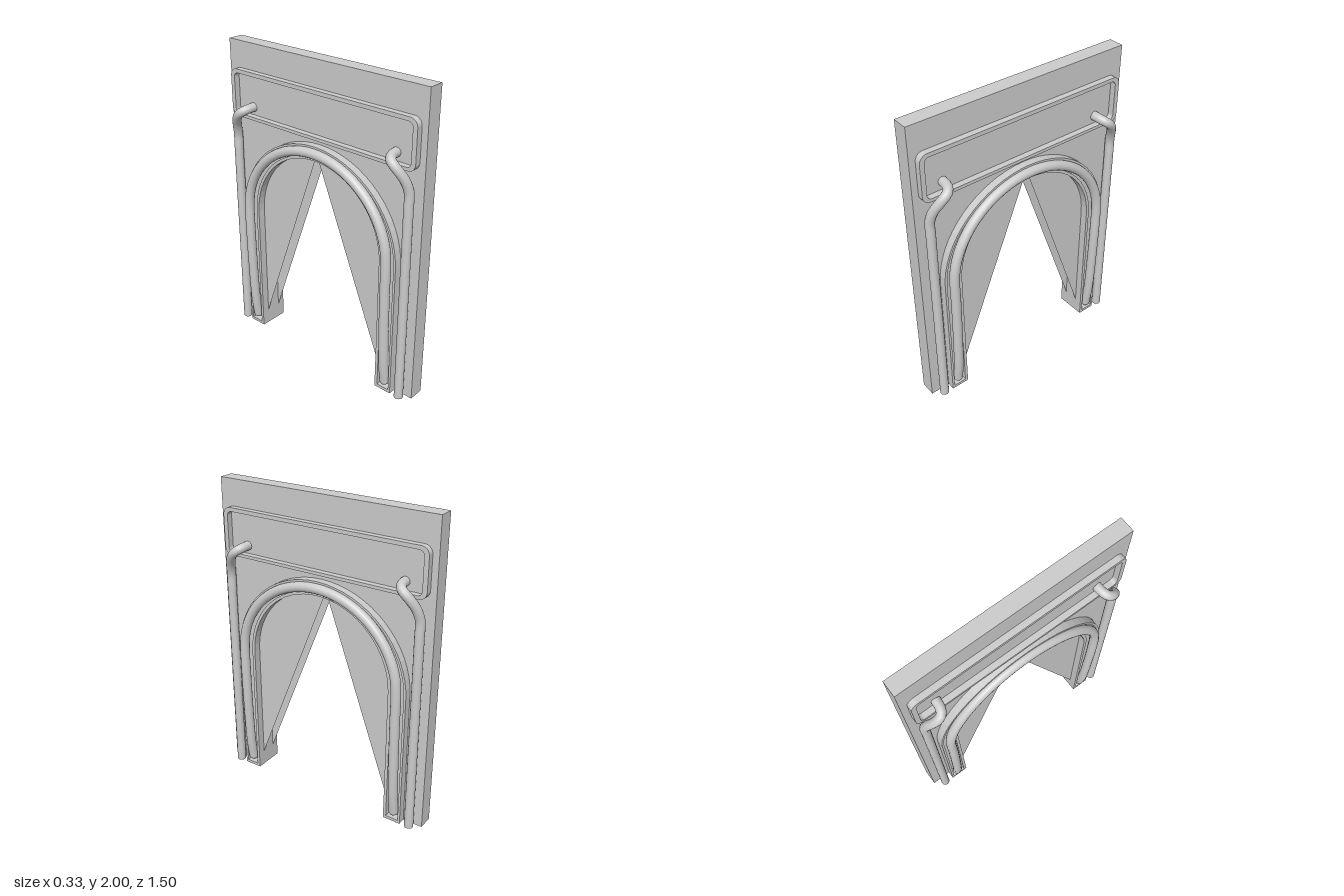
import * as THREE from 'three';

const material = new THREE.MeshStandardMaterial({ color: 0xcccccc, side: THREE.DoubleSide });

function add(parent, name, geometry) {
  const mesh = new THREE.Mesh(geometry, material);
  mesh.name = name;
  parent.add(mesh);
  return mesh;
}

// Profiles are drawn as (z, y); this lays them across x.
function slab(shape, depth, centreX) {
  const g = new THREE.ExtrudeGeometry(shape, { depth, bevelEnabled: false, curveSegments: 24 });
  return g.translate(0, 0, -depth / 2).rotateY(-Math.PI / 2).translate(centreX, 0, 0);
}

// Points up one side of an arch, over the top and down the other.
function archPoints(r, rise, bottom, spring = 0.9, n = 32) {
  const pts = [new THREE.Vector2(r, bottom)];
  for (let i = 0; i <= n; i++) {
    const a = (i / n) * Math.PI;
    pts.push(new THREE.Vector2(r * Math.cos(a), spring + rise * Math.sin(a)));
  }
  pts.push(new THREE.Vector2(-r, bottom));
  return pts;
}

// Band between two arches.
function archBand(outer, inner) {
  return [...outer, ...inner.slice().reverse()];
}

function roundedRect(w, y0, y1, r, target) {
  target.moveTo(-w + r, y0);
  target.lineTo(w - r, y0).absarc(w - r, y0 + r, r, -Math.PI / 2, 0);
  target.lineTo(w, y1 - r).absarc(w - r, y1 - r, r, 0, Math.PI / 2);
  target.lineTo(-w + r, y1).absarc(-w + r, y1 - r, r, Math.PI / 2, Math.PI);
  target.lineTo(-w, y0 + r).absarc(-w + r, y0 + r, r, Math.PI, Math.PI * 1.5);
  return target;
}

// Round bar along a path, closed by domes.
function bar(parent, name, points, radius, segments) {
  const group = new THREE.Group();
  group.name = name;
  const curve = new THREE.CatmullRomCurve3(points, false, 'centripetal');
  add(group, name + 'Rod', new THREE.TubeGeometry(curve, segments, radius, 16));
  return parent.add(group), group;
}

export function createModel() {
  const model = new THREE.Group();
  model.name = 'archedWall';

  // Upright slab with an arched opening
  const wall = new THREE.Shape([
    new THREE.Vector2(0.75, 0), new THREE.Vector2(0.75, 2),
    new THREE.Vector2(-0.75, 2), new THREE.Vector2(-0.75, 0),
    ...archPoints(0.5, 0.5, 0).reverse(),
  ]);
  add(model, 'wall', slab(wall, 0.1, 0));

  // Thin webs that narrow the opening to a triangle on both faces
  for (const [sz, apex] of [[1, -0.02], [-1, -0.035]]) {
    const pts = [new THREE.Vector2(sz * 0.5, 0.1)];
    for (let i = 0; i <= 16; i++) {
      const a = (i / 16) * Math.PI / 2;
      pts.push(new THREE.Vector2(sz * 0.5 * Math.cos(a), 0.9 + 0.5 * Math.sin(a)));
    }
    pts.push(new THREE.Vector2(apex, 1.398));
    for (const sx of [1, -1]) {
      const web = new THREE.ShapeGeometry(new THREE.Shape(pts));
      add(model, 'openingWeb', web.rotateY(sx * -Math.PI / 2).scale(1, 1, sx).translate(sx * 0.05, 0, 0));
    }
  }

  for (const sx of [1, -1]) {
    // Raised arch trim with a slot along its middle
    const trim = new THREE.Shape(archBand(archPoints(0.62, 0.59, 0), archPoints(0.5, 0.5, 0)));
    trim.holes.push(new THREE.Path(archBand(archPoints(0.605, 0.576, 0.02), archPoints(0.52, 0.518, 0.02))));
    add(model, 'archTrim', slab(trim, 0.055, sx * 0.0725));

    // Raised border of the upper panel
    const border = roundedRect(0.71, 1.525, 1.83, 0.05, new THREE.Shape());
    border.holes.push(roundedRect(0.68, 1.545, 1.805, 0.03, new THREE.Path()));
    add(model, 'panelBorder', slab(border, 0.045, sx * 0.0665));

    // Arched bar bowing out of the slot
    const path = [];
    const leg = [[0.07, 0.085], [0.2, 0.102], [0.5, 0.115], [0.75, 0.12]];
    for (const [y, x] of leg) path.push(new THREE.Vector3(sx * x, y, 0.565));
    for (let i = 0; i <= 16; i++) {
      const a = (i / 16) * Math.PI;
      path.push(new THREE.Vector3(sx * (0.12 - 0.012 * Math.sin(a) ** 2), 0.92 + 0.528 * Math.sin(a), 0.565 * Math.cos(a)));
    }
    for (const [y, x] of leg.slice().reverse()) path.push(new THREE.Vector3(sx * x, y, -0.565));
    const arch = bar(model, 'archBar', path, 0.031, 120);
    for (const sz of [1, -1]) {
      add(arch, 'archBarTip', new THREE.SphereGeometry(0.031, 16, 10)).position.set(sx * 0.085, 0.07, sz * 0.565);
    }

    // Side bars hooking over the lower corners of the panel
    for (const sz of [1, -1]) {
      const hook = [
        [0.085, 0, 0.677], [0.085, 0.7, 0.677], [0.085, 1.3, 0.677], [0.085, 1.4, 0.676], [0.104, 1.47, 0.661],
        [0.13, 1.53, 0.63], [0.139, 1.562, 0.602], [0.132, 1.582, 0.577], [0.1, 1.594, 0.56], [0.05, 1.597, 0.555],
      ].map(([x, y, z]) => new THREE.Vector3(sx * x, y, sz * z));
      const side = bar(model, 'sideBar', hook, 0.029, 90);
      const foot = new THREE.CircleGeometry(0.029, 16).rotateX(Math.PI / 2);
      add(side, 'sideBarFoot', foot).position.set(sx * 0.085, 0, sz * 0.677);
    }
  }
  return model;
}
